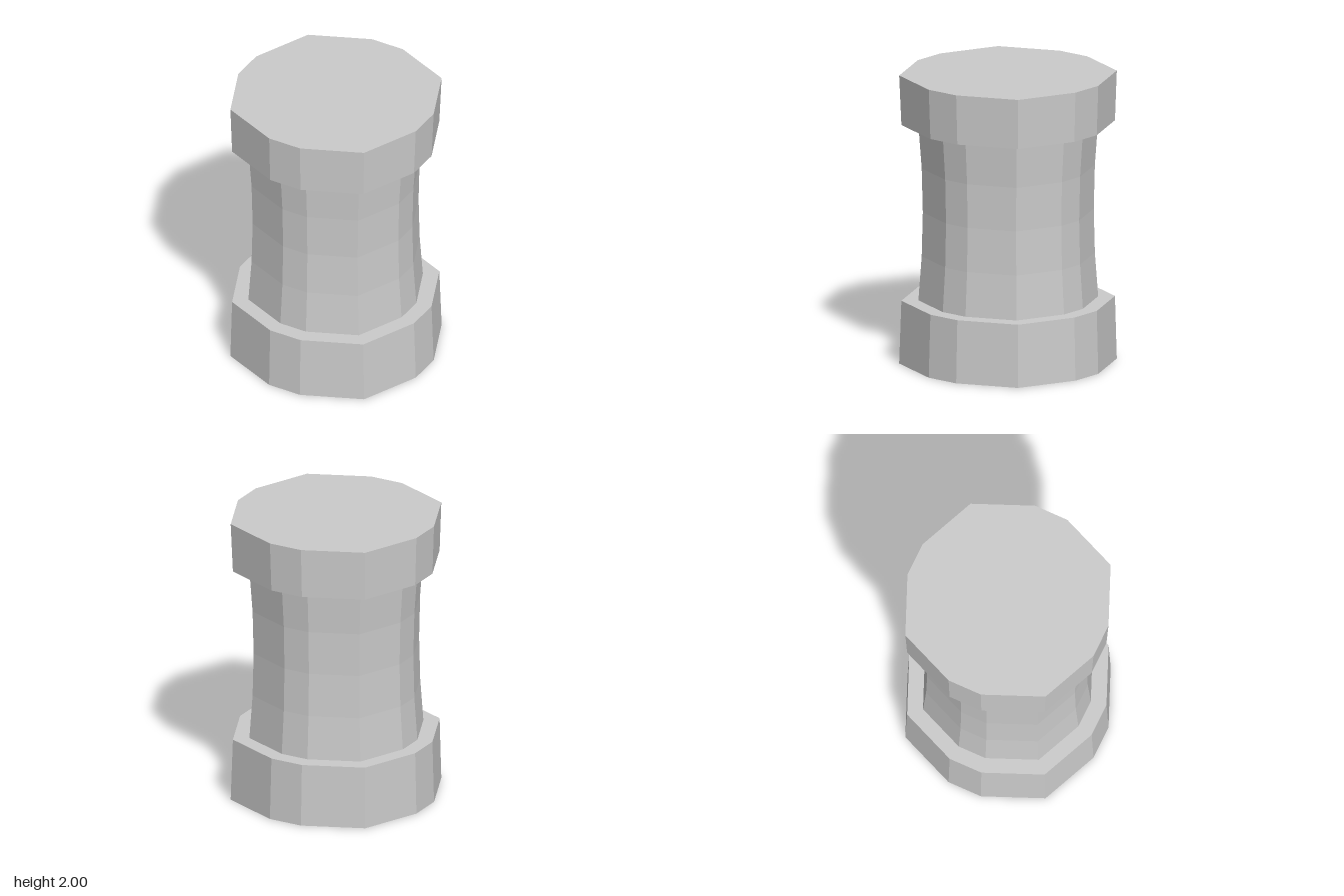
import * as THREE from 'three';

// Twelve-sided outline: three corners turned through four quarters
const quarter = [[0.69, 0.12], [0.52, 0.52], [0.12, 0.69]];
const outline = [];
for (let q = 0; q < 4; q++) {
  for (const [x, z] of quarter) {
    outline.push([[x, z], [-z, x], [-x, -z], [z, -x]][q]);
  }
}

const material = new THREE.MeshStandardMaterial({ color: 0xcccccc, flatShading: true });

// Stacks scaled copies of the outline; each ring is [height, half width, x shift]
function loft(name, rings, capped) {
  const positions = [];
  const n = outline.length;
  const corner = ([y, r, dx = 0], i) => {
    const [x, z] = outline[i % n];
    return [x * r / 0.69 + dx, y, z * r / 0.69];
  };
  for (let k = 0; k + 1 < rings.length; k++) {
    for (let i = 0; i < n; i++) {
      const a = corner(rings[k], i), b = corner(rings[k], i + 1);
      const c = corner(rings[k + 1], i), d = corner(rings[k + 1], i + 1);
      positions.push(...a, ...c, ...d, ...a, ...d, ...b);
    }
  }
  if (capped) {
    const low = rings[0], high = rings[rings.length - 1];
    for (let i = 0; i < n; i++) {
      positions.push(0, low[0], 0, ...corner(low, i), ...corner(low, i + 1));
      positions.push(0, high[0], 0, ...corner(high, i + 1), ...corner(high, i));
    }
  }
  const geometry = new THREE.BufferGeometry();
  geometry.setAttribute('position', new THREE.Float32BufferAttribute(positions, 3));
  geometry.computeVertexNormals();
  const mesh = new THREE.Mesh(geometry, material);
  mesh.name = name;
  return mesh;
}

export function createModel() {
  const group = new THREE.Group();
  group.name = 'column';

  // Base and capital, each narrowing slightly towards the shaft
  group.add(loft('base', [[0, 0.69], [0.435, 0.677, -0.002]], true));
  group.add(loft('capital', [[1.655, 0.677, -0.002], [2, 0.69]], true));

  // Waisted shaft in four bands
  const rings = [];
  for (let k = 0; k <= 4; k++) {
    const t = k / 2 - 1;
    rings.push([1.045 + 0.61 * t, 0.542 + 0.028 * t * t, -0.003]);
  }
  group.add(loft('shaft', rings, false));

  return group;
}
